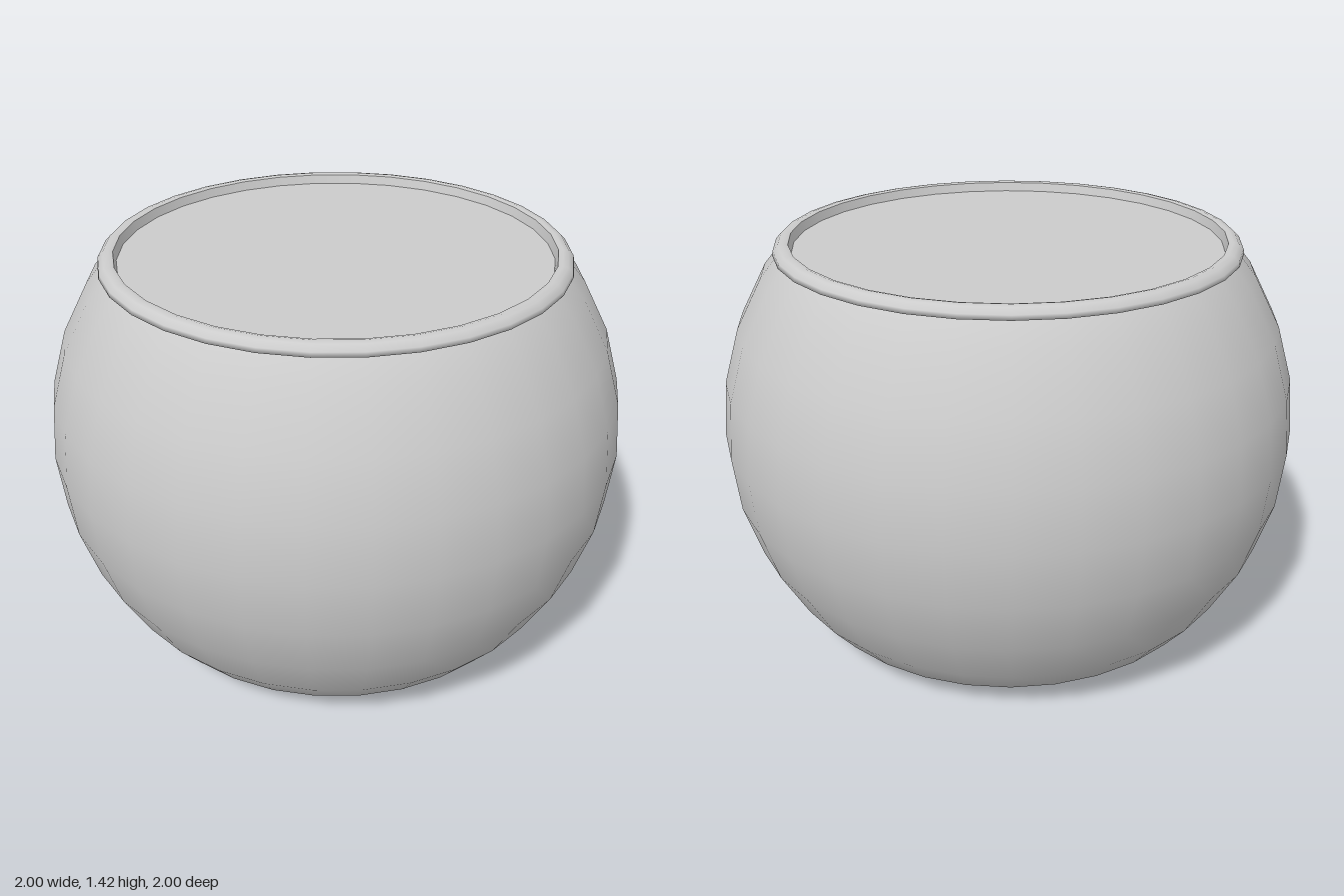
import * as THREE from 'three';

const SEGMENTS = 32;
const RADIUS = 1;
const CENTER_Y = 0.755;

export function createModel() {
  const model = new THREE.Group();
  model.name = 'roundBowl';
  const material = new THREE.MeshStandardMaterial({ color: 0xcccccc });

  // Lathe a profile of [radius, height] pairs; upward profiles face outward
  const turn = (name, profile) => {
    const points = profile.map(([r, y]) => new THREE.Vector2(r, y));
    const mesh = new THREE.Mesh(new THREE.LatheGeometry(points, SEGMENTS), material);
    mesh.name = name;
    model.add(mesh);
    return mesh;
  };

  // Bowl: flat foot, spherical wall in 11.25 degree rings, open neck
  const wall = [[0, 0], [0.575, 0], [0.75, 0.097]];
  for (let i = -3; i <= 3; i++) {
    const a = (i * Math.PI) / 16;
    wall.push([RADIUS * Math.cos(a), CENTER_Y + RADIUS * Math.sin(a)]);
  }
  wall.push([0.77, 1.385]);
  turn('bowl', wall);

  // Rim: outer lip rolling over to the inner edge
  turn('rimLip', [
    [0.765, 1.38], [0.788, 1.384], [0.785, 1.399], [0.768, 1.416],
    [0.75, 1.42], [0.735, 1.416],
  ]);
  turn('rimInnerWall', [[0.735, 1.416], [0.725, 1.38]]);
  turn('rimUnderside', [[0.74, 1.376], [0.788, 1.384]]);

  // Flat surface filling the mouth just below the rim
  const fill = new THREE.Mesh(new THREE.CircleGeometry(0.727, SEGMENTS), material);
  fill.name = 'fillSurface';
  fill.rotation.x = -Math.PI / 2;
  fill.position.y = 1.385;
  model.add(fill);

  return model;
}
